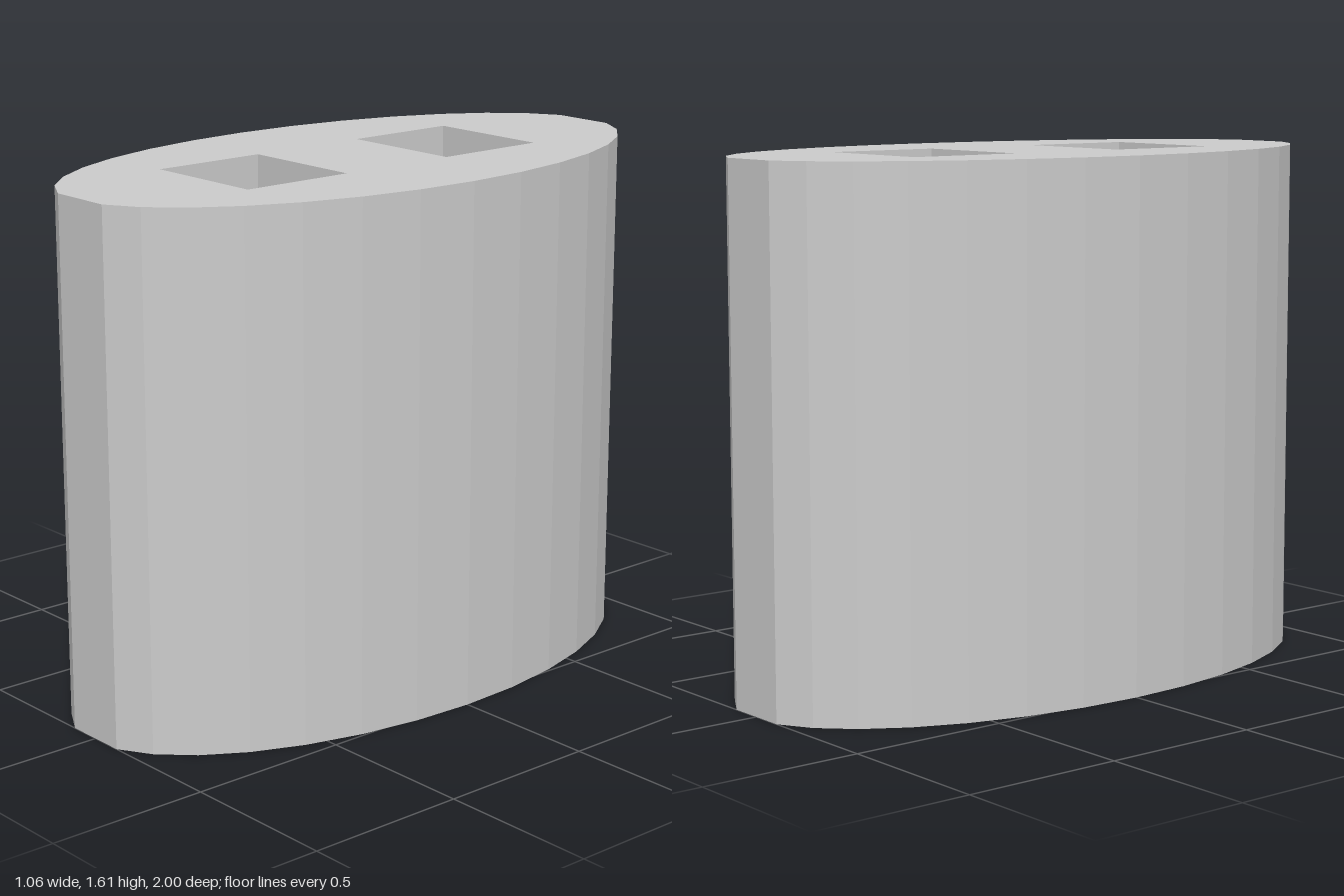
import * as THREE from 'three';

const HEIGHT = 1.61, POCKET_DEPTH = 0.45;

const material = new THREE.MeshStandardMaterial({ color: 0xcccccc, flatShading: true, side: THREE.DoubleSide });

// Vertical wall along a closed outline; counter-clockwise from above faces outward
function wall(outline, bottom, top) {
  const positions = [];
  outline.forEach((a, i) => {
    const b = outline[(i + 1) % outline.length];
    positions.push(a.x, bottom, -a.y, b.x, bottom, -b.y, b.x, top, -b.y);
    positions.push(a.x, bottom, -a.y, b.x, top, -b.y, a.x, top, -a.y);
  });
  const geometry = new THREE.BufferGeometry();
  geometry.setAttribute('position', new THREE.Float32BufferAttribute(positions, 3));
  geometry.computeVertexNormals();
  return geometry;
}

// Horizontal plate facing up at the given height
function plate(shape, y) {
  return new THREE.ShapeGeometry(shape).rotateX(-Math.PI / 2).translate(0, y, 0);
}

export function createModel() {
  const group = new THREE.Group();
  const add = (name, geometry) => {
    const mesh = new THREE.Mesh(geometry, material);
    mesh.name = name;
    group.add(mesh);
  };

  // 32-step oval with its two end vertices left out, giving blunt ends
  const oval = [];
  for (let i = 0; i < 32; i++) {
    if (i % 16 === 8) continue;
    const t = (i / 32) * Math.PI * 2;
    oval.push(new THREE.Vector2(0.532 * Math.cos(t), 1.0196 * Math.sin(t)));
  }
  const topShape = new THREE.Shape(oval);

  // Two rectangular pockets sunk into the top
  for (const side of [1, -1]) {
    const z = side * 0.383, w = 0.204, d = 0.185;
    const corners = [[-w, -d], [-w, d], [w, d], [w, -d]].map(([x, y]) => new THREE.Vector2(x, y - z));
    topShape.holes.push(new THREE.Path(corners));
    const name = side > 0 ? 'frontPocket' : 'backPocket';
    add(name + 'Walls', wall(corners, HEIGHT - POCKET_DEPTH, HEIGHT));
    add(name + 'Floor', plate(new THREE.Shape(corners), HEIGHT - POCKET_DEPTH));
  }

  // Oval shell, open underneath
  add('outerWall', wall(oval, 0, HEIGHT));
  add('topPlate', plate(topShape, HEIGHT));
  return group;
}
